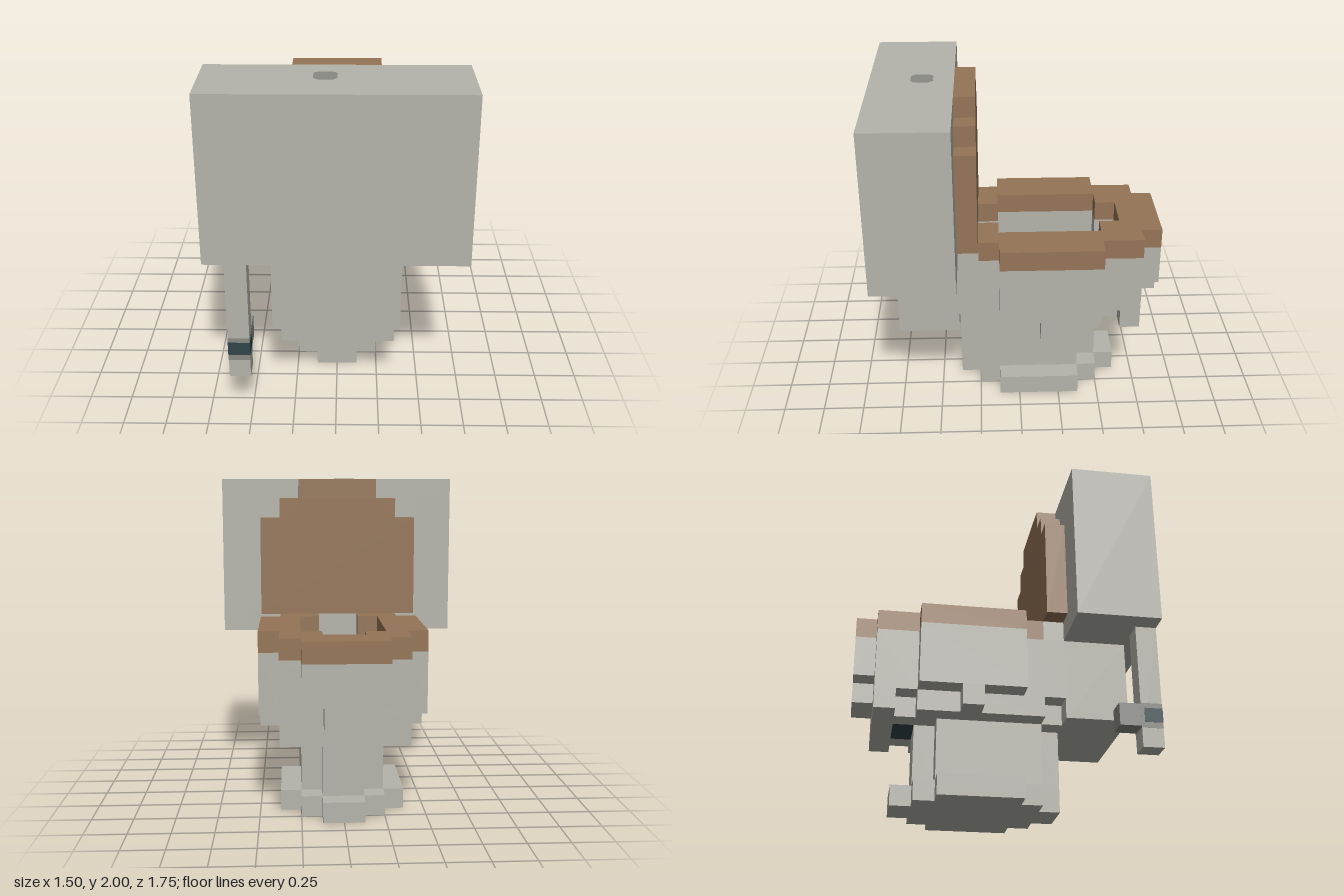
import * as THREE from 'three';

const mat = (name, color) => {
  const m = new THREE.MeshStandardMaterial({ color });
  m.name = name;
  return m;
};

export function createModel() {
  const root = new THREE.Group();
  const stone = mat('lightStone', 0xb5b4ab);
  const shade = mat('darkStone', 0x898a83);
  const wood = mat('wood', 0x957557);
  const water = mat('deepWater', 0x30454b);

  const add = (name, geo, m) => {
    const mesh = new THREE.Mesh(geo, m);
    mesh.name = name;
    root.add(mesh);
    return mesh;
  };

  // box given by its extents
  const box = (name, m, x0, x1, y0, y1, z0, z1) => {
    const g = new THREE.BoxGeometry(x1 - x0, y1 - y0, z1 - z0);
    g.translate((x0 + x1) / 2, (y0 + y1) / 2, (z0 + z1) / 2);
    return add(name, g, m);
  };

  // mirrored stepped outline from rows of [start, end, half width]
  const outline = (rows) => {
    const right = rows.flatMap(([a, b, w]) => [[w, a], [w, b]]);
    const left = right.map(([x, z]) => [-x, z]).reverse();
    return [...right, ...left].map(([x, z]) => new THREE.Vector2(x, z));
  };

  // horizontal stepped slab, rows run along z, with an optional stepped hole
  const slab = (name, m, y0, y1, rows, holeRows) => {
    const flip = (pts) => pts.map((p) => new THREE.Vector2(p.x, -p.y));
    const shape = new THREE.Shape(flip(outline(rows)));
    // the hole winds against the outline so its walls face inwards
    if (holeRows) shape.holes.push(new THREE.Path(flip(outline(holeRows)).reverse()));
    const g = new THREE.ExtrudeGeometry(shape, { depth: y1 - y0, bevelEnabled: false });
    g.rotateX(-Math.PI / 2);
    g.translate(0, y0, 0);
    return add(name, g, m);
  };

  // foot and pedestal
  slab('foot', stone, 0, 0.125, [
    [-0.625, -0.5, 0.125], [-0.5, -0.375, 0.25], [-0.375, 0.125, 0.375],
    [0.125, 0.25, 0.25], [0.25, 0.375, 0.125],
  ]);
  slab('pedestal', stone, 0.125, 0.5, [
    [-0.5, -0.375, 0.125], [-0.375, 0.25, 0.25], [0.25, 0.375, 0.125],
  ]);

  // bowl: stepped underside, walls around the opening, front lip
  const cross = [[-0.625, -0.375, 0.125], [-0.375, -0.25, 0.25], [-0.25, 0, 0.125]];
  const opening = [[-0.625, -0.5, 0.125], [-0.5, 0.125, 0.25], [0.125, 0.25, 0.125]];
  slab('bowlUnderside', stone, 0.5, 0.625, [
    [-0.75, -0.625, 0.375], [-0.625, -0.5, 0.25], [-0.5, -0.25, 0.375],
    [-0.25, -0.125, 0.5], [-0.125, 0.25, 0.375], [0.25, 0.375, 0.25],
  ], cross);
  slab('bowlWalls', stone, 0.625, 1, [
    [-0.75, -0.5, 0.375], [-0.5, 0.125, 0.5], [0.125, 0.375, 0.375],
  ], opening);
  box('frontLip', stone, -0.25, 0.25, 0.75, 1, -0.875, -0.75);
  box('frontLipLower', stone, -0.125, 0.125, 0.625, 0.75, -0.875, -0.75);

  // bowl floor and water
  slab('bowlFloor', shade, 0.625, 0.63, opening, [
    [-0.62, -0.375, 0.124], [-0.375, -0.25, 0.245], [-0.25, 0, 0.124],
  ]);
  slab('water', water, 0.5, 0.633, cross);

  // seat, open at the back: outer rows forwards to back, then inner rows returning
  slab('seat', wood, 1, 1.125, [
    [-0.875, -0.75, 0.25], [-0.75, -0.5, 0.375],
    [-0.5, 0.125, 0.5], [0.125, 0.25, 0.375],
    [0.25, 0.125, 0.125], [0.125, -0.5, 0.25], [-0.5, -0.625, 0.125],
  ]);

  // raised lid
  const lid = new THREE.ExtrudeGeometry(new THREE.Shape(outline([
    [1.125, 1.75, 0.5], [1.75, 1.875, 0.375], [1.875, 2, 0.25],
  ])), { depth: 0.125, bevelEnabled: false });
  lid.translate(0, 0, 0.25);
  add('lid', lid, wood);
  box('hinge', stone, -0.375, 0.375, 1, 1.125, 0.25, 0.375);

  // cistern and its support
  box('cisternBase', stone, -0.375, 0.375, 0.5, 1, 0.375, 0.75);
  box('cistern', stone, -0.75, 0.75, 1, 2, 0.375, 0.875);

  // flush button, a thin chamfered plate
  const b = 0.066, c = 0.042;
  const button = new THREE.ExtrudeGeometry(new THREE.Shape(
    [[b, -c], [b, c], [c, b], [-c, b], [-b, c], [-b, -c], [-c, -b], [c, -b]]
      .map(([x, y]) => new THREE.Vector2(x, y)),
  ), { depth: 0.003, bevelEnabled: false });
  button.rotateX(-Math.PI / 2);
  button.translate(-0.06, 1.998, 0.565);
  add('flushButton', button, shade);

  // supply pipe, valve and painted bands
  box('supplyPipe', stone, -0.625, -0.5, 0.25, 1, 0.75, 0.875);
  box('valve', shade, -0.625, -0.5, 0.375, 0.51, 0.625, 0.75);
  box('valveCollar', shade, -0.626, -0.499, 0.365, 0.515, 0.749, 0.876);
  box('valveBand', water, -0.627, -0.498, 0.4, 0.485, 0.77, 0.877);

  return root;
}
